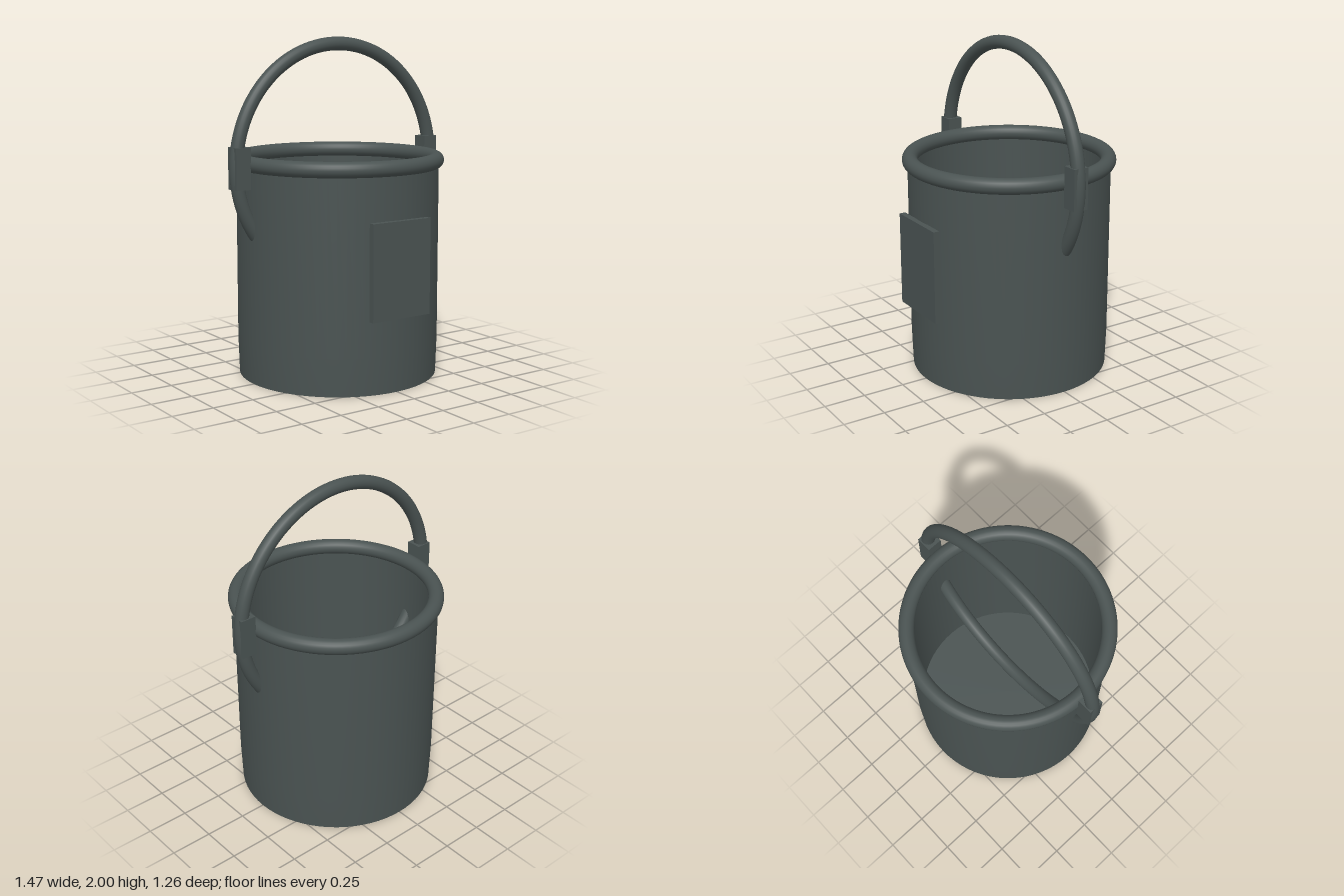
import * as THREE from 'three';
import { toCreasedNormals } from 'three/addons/utils/BufferGeometryUtils.js';

export function createModel() {
  const model = new THREE.Group();
  model.name = 'bucket';
  const metal = new THREE.MeshStandardMaterial({ color: 0x4a5352 });
  metal.name = 'dark grey metal';

  function add(name, geometry, x = 0, y = 0, z = 0) {
    const mesh = new THREE.Mesh(geometry, metal);
    mesh.name = name;
    mesh.position.set(x, y, z);
    model.add(mesh);
    return mesh;
  }

  // Hollow thin-walled body: underside, outer wall, lip, inner wall, floor
  const profile = [
    [0, 0], [0.593, 0], [0.6, 0.22], [0.6, 1.28],
    [0.57, 1.28], [0.57, 0.03], [0, 0.03],
  ].map(([r, y]) => new THREE.Vector2(r, y));
  add('body', toCreasedNormals(new THREE.LatheGeometry(profile, 72), 0.6));

  // Rolled rim
  add('rim', new THREE.TorusGeometry(0.585, 0.046, 20, 96).rotateX(Math.PI / 2), 0, 1.282, 0);

  // Ring handle, passing through the body wall at both sides
  add('handle', new THREE.TorusGeometry(0.693, 0.04, 18, 120), 0, 1.267, 0);

  // Clamps around the handle at both sides
  for (const [side, name] of [[1, 'leftClamp'], [-1, 'rightClamp']]) {
    add(name, new THREE.BoxGeometry(0.094, 0.24, 0.092), side * 0.671, 1.267, 0);
  }

  // Blank plate on the front
  add('frontPlate', new THREE.BoxGeometry(0.4, 0.555, 0.036), 0, 0.713, 0.614);

  return model;
}
